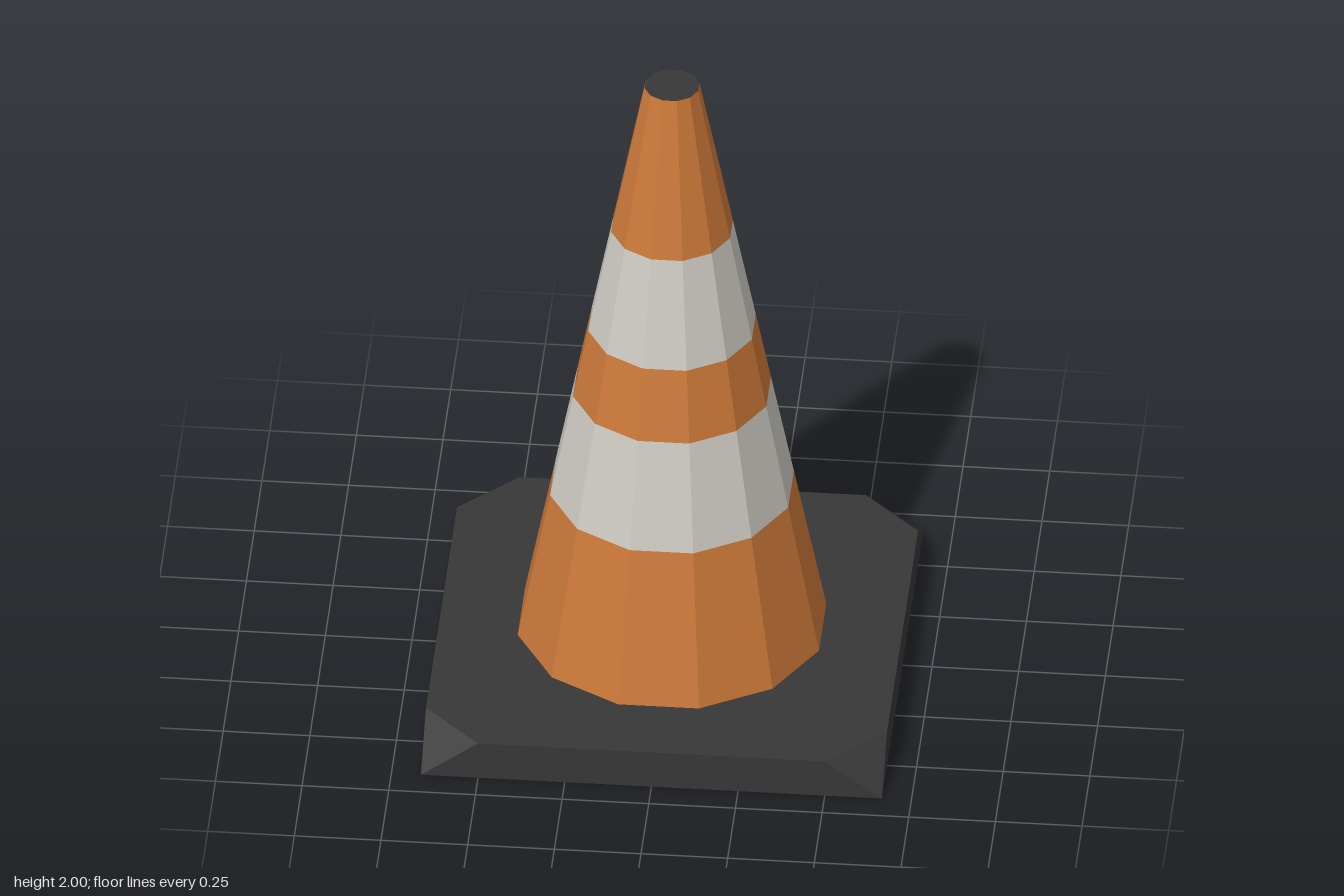
import * as THREE from 'three';

const orange = new THREE.MeshStandardMaterial({ color: 0xcb7838 });
orange.name = 'orange plastic';
const white = new THREE.MeshStandardMaterial({ color: 0xcdcac2 });
white.name = 'reflective white';
const rubber = new THREE.MeshStandardMaterial({ color: 0x373737 });
rubber.name = 'dark rubber';
for (const m of [orange, white, rubber]) m.flatShading = true;
rubber.side = THREE.DoubleSide;

const SIDES = 12, BASE_TOP = 0.12, TOP = 2;
const R_BOTTOM = 0.45, R_TOP = 0.08;
const radiusAt = (y) => THREE.MathUtils.mapLinear(y, BASE_TOP, TOP, R_BOTTOM, R_TOP);

// Hollow base: square at the ground, corners clipped at the top, open below
function baseGeometry() {
  const a = 0.665, b = 0.5, h = BASE_TOP, pos = [];
  const up = new THREE.Vector3(0, 1, 0);
  for (let i = 0; i < 4; i++) {
    const p = (x, y, z) => new THREE.Vector3(x, y, z).applyAxisAngle(up, i * Math.PI / 2);
    const bl = p(-a, 0, a), br = p(a, 0, a), tl = p(-b, h, a), tr = p(b, h, a);
    const next = p(a, h, b), centre = p(0, h, 0);
    const tris = [
      bl, br, tr, bl, tr, tl,             // side wall
      br, next, tr,                       // clipped corner
      centre, tl, tr, centre, tr, next,   // share of the top face
    ];
    for (const v of tris) pos.push(v.x, v.y, v.z);
  }
  const g = new THREE.BufferGeometry();
  g.setAttribute('position', new THREE.Float32BufferAttribute(pos, 3));
  g.computeVertexNormals();
  return g;
}

export function createModel() {
  const model = new THREE.Group();
  model.name = 'trafficCone';
  const add = (name, geometry, material) => {
    const mesh = new THREE.Mesh(geometry, material);
    mesh.name = name;
    model.add(mesh);
    return mesh;
  };

  add('base', baseGeometry(), rubber);

  // Cone body as stacked bands, with a flat facet facing the front
  const levels = [BASE_TOP, 0.6, 0.94, 1.165, 1.505, TOP];
  const names = ['lowerBody', 'lowerStripe', 'middleBody', 'upperStripe', 'upperBody'];
  names.forEach((name, i) => {
    const y0 = levels[i], y1 = levels[i + 1];
    const g = new THREE.CylinderGeometry(radiusAt(y1), radiusAt(y0), y1 - y0, SIDES, 1, true);
    g.rotateY(Math.PI / SIDES).translate(0, (y0 + y1) / 2, 0);
    add(name, g, i % 2 ? white : orange);
  });

  // Dark cap closing the tip
  const cap = new THREE.CircleGeometry(R_TOP, SIDES);
  cap.rotateX(-Math.PI / 2).rotateY(Math.PI / SIDES).translate(0, TOP, 0);
  add('tipCap', cap, rubber);

  return model;
}
